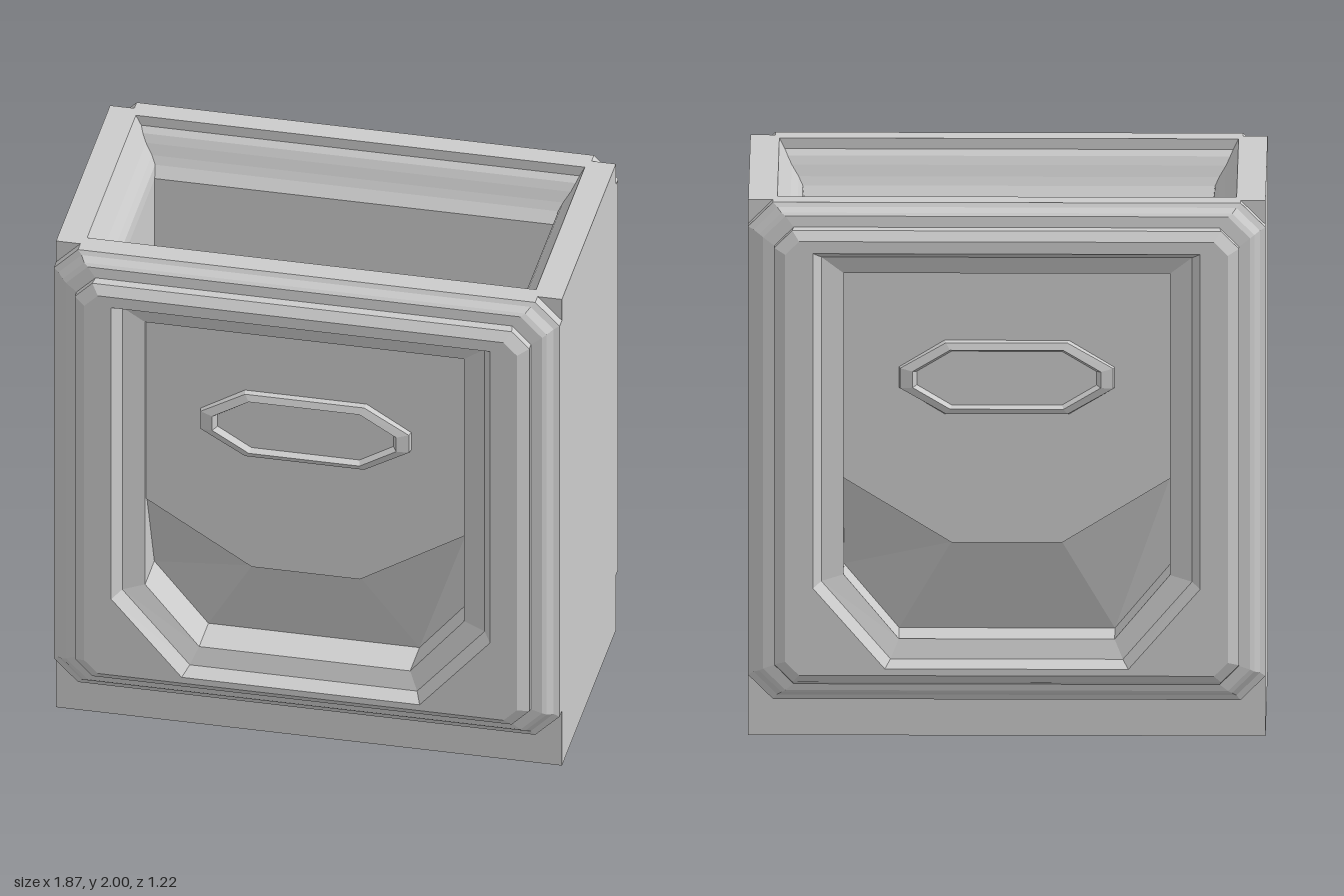
import * as THREE from 'three';

const material = new THREE.MeshStandardMaterial({ color: 0xcccccc, flatShading: true });

function add(parent, name, geometry, x = 0, y = 0, z = 0) {
  const mesh = new THREE.Mesh(geometry, material);
  mesh.name = name;
  mesh.position.set(x, y, z);
  parent.add(mesh);
  return mesh;
}

// Skin between successive rows of points; rows run counter-clockwise seen from +z
function loft(rows, closed = true, cap = false) {
  const n = rows[0].length, index = [];
  for (let r = 0; r < rows.length - 1; r++) {
    for (let i = 0; i < (closed ? n : n - 1); i++) {
      const a = r * n + i, b = r * n + (i + 1) % n;
      index.push(a, b, b + n, a, b + n, a + n);
    }
  }
  const last = (rows.length - 1) * n;
  if (cap) for (let i = 1; i < n - 1; i++) index.push(last, last + i, last + i + 1);
  const g = new THREE.BufferGeometry();
  g.setAttribute('position', new THREE.Float32BufferAttribute(rows.flat(2), 3));
  g.setIndex(index);
  const flat = g.toNonIndexed();
  flat.computeVertexNormals();
  return flat;
}

// Eight-cornered outline: half width, bottom, top, bottom cut (bx, by), top cut, depth
function outline(hx, y0, y1, bx, by, t, z, tx = t) {
  return [
    [-hx + bx, y0, z], [hx - bx, y0, z], [hx, y0 + by, z], [hx, y1 - t, z],
    [hx - tx, y1, z], [-hx + tx, y1, z], [-hx, y1 - t, z], [-hx, y0 + by, z],
  ];
}
const chamfered = (hx, y0, y1, c, z) => outline(hx, y0, y1, c, c, c, z);

function createPanel() {
  const panel = new THREE.Group();

  // Stepped moulding, flat face and door recess in one skin
  add(panel, 'panelFrame', loft([
    chamfered(0.935, 0.145, 2, 0.09, 0.46),
    chamfered(0.935, 0.145, 2, 0.09, 0.505),
    chamfered(0.915, 0.165, 1.985, 0.085, 0.515),
    chamfered(0.895, 0.18, 1.97, 0.08, 0.54),
    chamfered(0.88, 0.19, 1.96, 0.08, 0.55),
    chamfered(0.84, 0.215, 1.92, 0.07, 0.555),
    chamfered(0.84, 0.23, 1.915, 0.065, 0.585),
    chamfered(0.80, 0.26, 1.88, 0.05, 0.61),
    outline(0.70, 0.285, 1.835, 0.26, 0.30, 0, 0.61),
    outline(0.67, 0.31, 1.81, 0.25, 0.29, 0, 0.56),
    outline(0.59, 0.38, 1.745, 0.20, 0.24, 0, 0.54),
    outline(0.59, 0.38, 1.745, 0.20, 0.24, 0, 0.38),
  ]));

  // Door flap with an angled lower edge
  const flap = new THREE.Shape([
    [-0.59, 1.745], [-0.59, 0.975], [-0.2, 0.735],
    [0.2, 0.735], [0.59, 0.975], [0.59, 1.745],
  ].map(([x, y]) => new THREE.Vector2(x, y)));
  add(panel, 'doorFlap', new THREE.ExtrudeGeometry(flap, { depth: 0.02, bevelEnabled: false }), 0, 0, 0.5);

  // Lower part folding inward
  add(panel, 'doorSlope', loft([
    [[-0.59, 0.62, 0.38], [-0.39, 0.38, 0.38], [0.39, 0.38, 0.38], [0.59, 0.62, 0.38]],
    [[-0.59, 0.975, 0.51], [-0.2, 0.735, 0.51], [0.2, 0.735, 0.51], [0.59, 0.975, 0.51]],
  ], false));

  // Raised rim around the plaque
  add(panel, 'plaqueRim', loft([
    outline(0.39, 1.215, 1.49, 0.165, 0.10, 0.10, 0.52, 0.165),
    outline(0.385, 1.22, 1.485, 0.165, 0.095, 0.095, 0.54, 0.165),
    outline(0.34, 1.24, 1.46, 0.135, 0.08, 0.08, 0.55, 0.135),
    outline(0.325, 1.25, 1.45, 0.125, 0.075, 0.075, 0.525, 0.125),
  ], true, true));
  return panel;
}

export function createModel() {
  const model = new THREE.Group();
  model.name = 'bin';

  // Base and side walls
  add(model, 'base', new THREE.BoxGeometry(1.87, 0.11, 0.93), 0, 0.055, 0);
  for (const s of [-1, 1]) {
    add(model, s > 0 ? 'leftWall' : 'rightWall', new THREE.BoxGeometry(0.105, 2, 0.93), s * 0.8825, 1, 0);
    add(model, s > 0 ? 'frontSkirt' : 'backSkirt', new THREE.BoxGeometry(1.86, 0.19, 0.05), 0, 0.1, s * 0.44);
    add(model, s > 0 ? 'frontRim' : 'backRim', new THREE.BoxGeometry(1.69, 0.08, 0.085), 0, 1.96, s * 0.4625);
  }

  // Front and back panels
  for (const s of [1, -1]) {
    const panel = createPanel();
    panel.name = s > 0 ? 'frontPanel' : 'backPanel';
    panel.rotation.y = s > 0 ? 0 : Math.PI;
    model.add(panel);
  }

  // Inside of the bin: stepped lip, liner walls and floor
  const liner = [
    [0.83, 0.42, 2], [0.81, 0.42, 1.96], [0.80, 0.40, 1.94], [0.785, 0.385, 1.91],
    [0.76, 0.37, 1.87], [0.745, 0.355, 1.84], [0.74, 0.325, 1.80], [0.74, 0.32, 0.12],
  ].map(([x, d, y]) => [[-x, -d, y], [x, -d, y], [x, d, y], [-x, d, y]]);
  add(model, 'liner', loft(liner, true, true).rotateX(-Math.PI / 2));

  // Slanted slats on the floor
  for (const s of [-1, 1]) {
    for (let i = 0; i < 4; i++) {
      const slat = add(model, 'floorSlat', new THREE.BoxGeometry(0.19, 0.02, 0.095), s * 0.56, 0.135, -0.275 + i * 0.183);
      slat.rotation.x = -0.3;
    }
  }
  return model;
}
